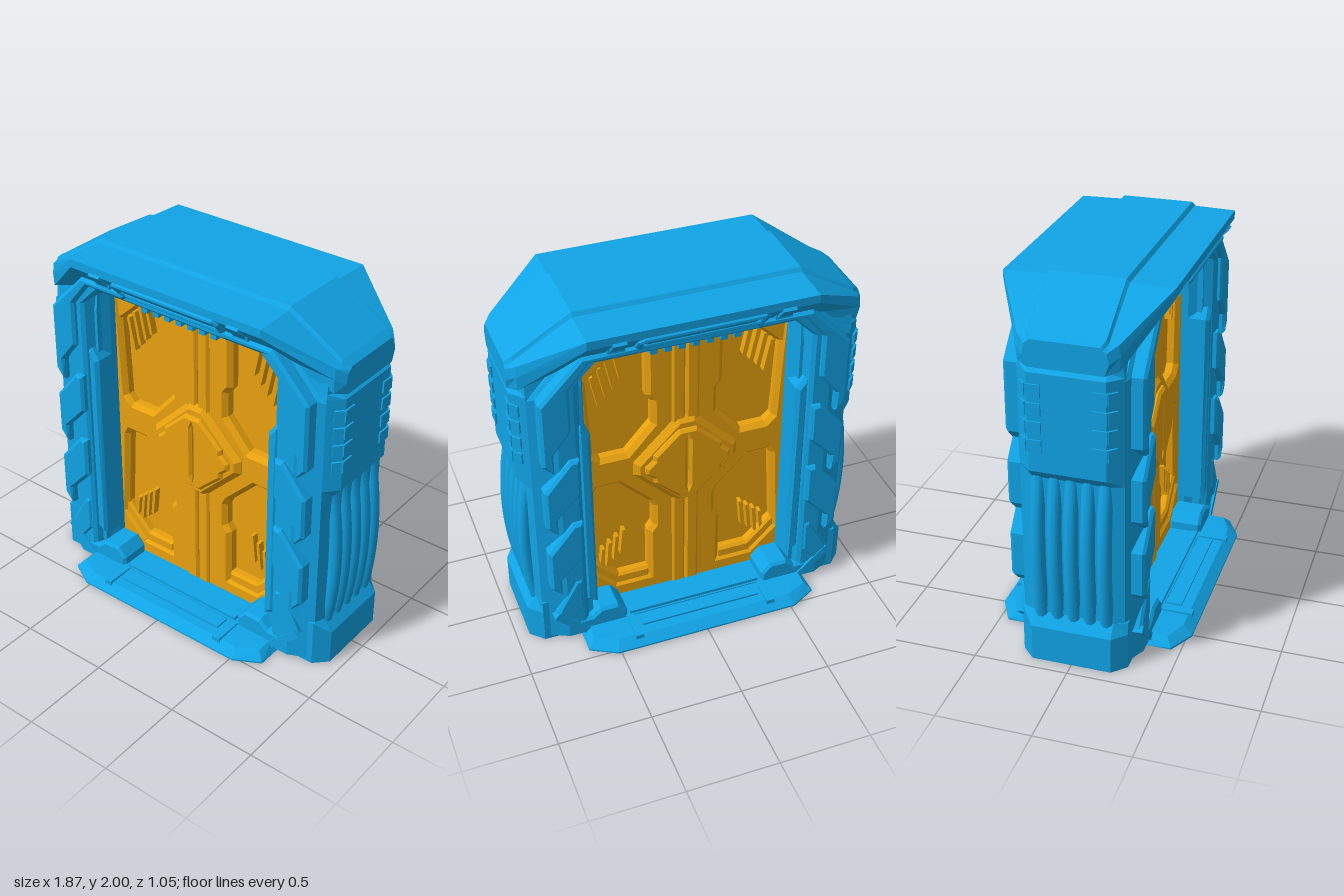
import * as THREE from 'three';
import { ConvexGeometry } from 'three/addons/geometries/ConvexGeometry.js';

const blue = new THREE.MeshStandardMaterial({ color: 0x10a4e6, flatShading: true });
const blueSmooth = new THREE.MeshStandardMaterial({ color: 0x10a4e6 });
const blueThin = new THREE.MeshStandardMaterial({ color: 0x10a4e6, flatShading: true, side: THREE.DoubleSide });
const amber = new THREE.MeshStandardMaterial({ color: 0xe8a20f, flatShading: true });

function add(parent, name, geometry, material, x = 0, y = 0, z = 0) {
  const mesh = new THREE.Mesh(geometry, material);
  mesh.name = name;
  mesh.position.set(x, y, z);
  parent.add(mesh);
  return mesh;
}
const box = (parent, name, mat, w, h, d, x, y, z) => add(parent, name, new THREE.BoxGeometry(w, h, d), mat, x, y, z);

// Joins cross-section loops with quads; closed loops also get end caps.
function skin(loops, closed) {
  const pos = [];
  const tri = (...pts) => pts.forEach(p => pos.push(...p));
  const n = loops[0].length;
  for (let i = 0; i + 1 < loops.length; i++) {
    for (let j = 0; j < (closed ? n : n - 1); j++) {
      const k = (j + 1) % n;
      const a = loops[i][j], b = loops[i][k], c = loops[i + 1][k], d = loops[i + 1][j];
      tri(a, d, c);
      tri(a, c, b);
    }
  }
  if (closed) {
    const first = loops[0], last = loops[loops.length - 1];
    for (let j = 1; j < n - 1; j++) {
      tri(first[0], first[j], first[j + 1]);
      tri(last[0], last[j + 1], last[j]);
    }
  }
  const g = new THREE.BufferGeometry();
  g.setAttribute('position', new THREE.Float32BufferAttribute(pos, 3));
  g.computeVertexNormals();
  return g;
}

// Bevelled plate from an outline in x/y, spanning z0 to z1.
const flip = (pts, s) => pts.map(([x, y]) => new THREE.Vector2(x * s, y));
const mirrored = pts => [...pts, ...pts.map(([x, y]) => [-x, y]).reverse()];
function plate(pts, z0, z1, bevel = 0.015, holes = [], s = 1) {
  const shape = new THREE.Shape(flip(pts, s));
  holes.forEach(h => shape.holes.push(new THREE.Path(h)));
  const g = new THREE.ExtrudeGeometry(shape, {
    depth: z1 - z0 - bevel, bevelEnabled: bevel > 0, bevelThickness: bevel,
    bevelSize: bevel, bevelOffset: -bevel, bevelSegments: 1,
  });
  return g.translate(0, 0, z0);
}
const rect = (w, y0, y1, c) => [[-w, y0 + c], [-w + c, y0], [w - c, y0], [w, y0 + c],
  [w, y1 - c], [w - c, y1], [-w + c, y1], [-w, y1 - c]];

// Chamfered arch from the right foot over to the left foot.
const arch = (w, top, c, z) => [[w, 0.02, z], [w, top - c, z], [w - c, top, z],
  [c - w, top, z], [-w, top - c, z], [-w, 0.02, z]];

function buildColumn() {
  const g = new THREE.Group();
  g.name = 'sideColumn';
  const section = ([y, X, d]) => [[0.58, -d], [0.86, -d], [X, 0.07 - d], [X, d - 0.07], [0.86, d], [0.58, d]]
    .map(([x, z]) => [x, y, z]);
  const stations = [[0, 0.93, 0.28], [0.2, 0.93, 0.28], [0.27, 0.875, 0.28], [0.271, 0.885, 0.265],
    [1.05, 0.885, 0.265], [1.1, 0.925, 0.265], [1.62, 0.925, 0.265], [1.65, 0.89, 0.26], [1.75, 0.89, 0.25]];
  add(g, 'columnBody', skin(stations.map(section), true), blue);
  // bulging vertical ribs
  const arc = new THREE.CatmullRomCurve3([[0.855, 0.22], [0.885, 0.4], [0.899, 0.64], [0.885, 0.88], [0.855, 1.07]]
    .map(([x, y]) => new THREE.Vector3(x, y, 0)));
  for (let i = -2; i <= 2; i++) {
    add(g, 'sideRib', new THREE.TubeGeometry(arc, 20, 0.038, 10), blueSmooth, 0, 0, i * 0.086);
  }
  // small vent blocks wrapping both edges
  for (const s of [-1, 1]) {
    for (let i = 0; i < 4; i++) {
      const y = 1.24 + i * 0.097;
      box(g, 'ventBlock', blue, 0.04, 0.065, 0.075, 0.914, y, s * 0.165);
      box(g, 'ventBlock', blue, 0.04, 0.065, 0.05, 0.898, y, s * 0.212).rotation.y = -s * 0.75;
    }
  }
  return g;
}

function buildDoor() {
  const g = new THREE.Group();
  g.name = 'doorFace';
  box(g, 'doorPanel', amber, 1.14, 1.74, 0.085, 0, 0.91, 0.0425);
  // post with three arms, and the outer rims that close the four pockets
  const lattice = [[0, 0.03], [0.62, 0.03], [0.62, 0.15], [0.21, 0.15], [0.21, 0.47], [0.18, 0.51], [0.18, 0.64], [0.2, 0.68], [0.37, 0.85], [0.62, 0.85],
    [0.62, 1.04], [0.32, 1.04], [0.18, 1.2], [0.18, 1.34], [0.21, 1.38], [0.21, 1.7], [0.62, 1.7], [0.62, 1.82], [0, 1.82]];
  const lowerRim = [[0.62, 0.05], [0.62, 0.96], [0.47, 0.96], [0.48, 0.86], [0.5, 0.82], [0.53, 0.29], [0.39, 0.15], [0.36, 0.05]];
  const upperRim = [[0.62, 0.92], [0.62, 1.8], [0.42, 1.8], [0.49, 1.7], [0.53, 1.66], [0.5, 1.08], [0.45, 1.03], [0.43, 0.92]];
  for (const s of [1, -1]) {
    add(g, 'doorLattice', plate(lattice, 0.08, 0.15, 0.025, [], s), amber);
    add(g, 'lowerRim', plate(lowerRim, 0.08, 0.15, 0.025, [], s), amber);
    add(g, 'upperRim', plate(upperRim, 0.08, 0.15, 0.025, [], s), amber);
    // centre post halves, with a seam between them
    add(g, 'centrePost', plate([[0.002, 0.06], [0.075, 0.06], [0.075, 1.77], [0.002, 1.77]], 0.11, 0.165, 0.012, [], s), amber);
    // corner pads and slanted fins inside the pockets
    add(g, 'upperCornerPad', plate([[0.56, 1.52], [0.56, 1.75], [0.33, 1.75], [0.36, 1.69], [0.5, 1.56]], 0.08, 0.14, 0.015, [], s), amber);
    add(g, 'lowerCornerPad', plate([[0.56, 0.1], [0.56, 0.38], [0.53, 0.35], [0.38, 0.2], [0.2, 0.2], [0.2, 0.1]], 0.08, 0.135, 0.015, [], s), amber);
    for (let i = 0; i < 4; i++) {
      const x = 0.35 + i * 0.04;
      box(g, 'upperFin', amber, 0.018, 0.19, 0.05, s * (0.82 - x), 1.46 + i * 0.045, 0.1).rotation.z = -s * 0.2;
      box(g, 'lowerFin', amber, 0.018, 0.17, 0.05, s * x, 0.42 - i * 0.035, 0.1).rotation.z = s * 0.1;
    }
  }
  // centre diamond in two layers, the cover with an upright slit
  add(g, 'diamondBase', plate(mirrored([[0.05, 0.66], [0.29, 0.9], [0.29, 0.98], [0.05, 1.22]]), 0.11, 0.185, 0.03), amber);
  add(g, 'diamondCover', plate(mirrored([[0.05, 0.72], [0.19, 0.85], [0.19, 0.88], [0.235, 0.92], [0.235, 0.96], [0.19, 1.0], [0.19, 1.03], [0.05, 1.16]]),
    0.18, 0.21, 0.015, [flip([[0, 0.76], [0.006, 0.79], [0.006, 1.09], [0, 1.12], [-0.006, 1.09], [-0.006, 0.79]], 1)]), amber);
  return g;
}

function buildFace() {
  const g = new THREE.Group();
  g.name = 'portalFace';
  const profile = [[0.555, 1.75, 0.03, 0.1], [0.555, 1.75, 0.03, 0.19], [0.6, 1.765, 0.07, 0.27], [0.62, 1.775, 0.1, 0.31],
    [0.64, 1.79, 0.12, 0.325], [0.73, 1.84, 0.21, 0.325], [0.78, 1.86, 0.24, 0.3], [0.86, 1.88, 0.28, 0.265], [0.88, 1.89, 0.3, 0.2]];
  add(g, 'doorFrame', skin(profile.map(p => arch(...p)), false), blueThin);

  for (const s of [1, -1]) {
    // armour plates on the frame
    const armour = [
      [[0.82, 1.24], [0.82, 1.61], [0.6, 1.84], [0.28, 1.84], [0.32, 1.8], [0.56, 1.8], [0.665, 1.67], [0.665, 1.42], [0.76, 1.3], [0.76, 1.18]],
      [[0.82, 0.84], [0.82, 1.07], [0.68, 1.24], [0.63, 1.24], [0.63, 1.02], [0.76, 0.88], [0.76, 0.78]],
      [[0.82, 0.42], [0.82, 0.66], [0.68, 0.83], [0.63, 0.83], [0.63, 0.6], [0.76, 0.46], [0.76, 0.36]],
      [[0.8, 0.2], [0.76, 0.28], [0.68, 0.42], [0.64, 0.42], [0.64, 0.22], [0.72, 0.12]],
    ];
    armour.forEach((pts, i) => add(g, 'armourPlate', plate(pts, 0.26, i < 3 ? 0.355 : 0.335, 0.015, [], s), blue));
    add(g, 'jambStrip', plate([[0.555, 0.2], [0.625, 0.24], [0.625, 1.4], [0.6, 1.4], [0.555, 1.34]], 0.18, 0.31, 0.02, [], s), blue);
    // bottom corner brackets and braces
    add(g, 'cornerBracket', plate([[0.4, 0.05], [0.4, 0.11], [0.45, 0.165], [0.55, 0.165], [0.6, 0.12], [0.7, 0.12], [0.7, 0.05]],
      0.16, 0.33, 0.015, [], s), blue);
    box(g, 'cornerBrace', blue, 0.24, 0.04, 0.06, s * 0.71, 0.12, 0.31).rotation.z = s * 0.75;
    box(g, 'rampStrap', blue, 0.045, 0.025, 0.17, s * 0.385, 0.055, 0.41);
    // clips under the brow
    box(g, 'browClip', blue, 0.07, 0.11, 0.04, s * 0.43, 1.9, 0.385).rotation.x = 0.75;
    box(g, 'clipFoot', blue, 0.09, 0.03, 0.05, s * 0.43, 1.86, 0.345);
  }

  // recessed light bar on the brow's underside
  const bar = new THREE.Group();
  bar.name = 'lightBar';
  bar.position.set(0, 1.885, 0.38);
  bar.rotation.x = 0.75;
  add(bar, 'lightRim', plate(rect(0.335, -0.065, 0.065, 0.025), -0.02, 0.02, 0.008, [flip(rect(0.305, -0.042, 0.042, 0.015), 1)]), blue);
  add(bar, 'lightPanel', plate(rect(0.29, -0.03, 0.03, 0.012), -0.02, 0.012, 0.008), blue);
  g.add(bar);

  // row of teeth above the door
  box(g, 'ventRail', blue, 0.76, 0.04, 0.08, 0, 1.76, 0.22);
  for (let i = -3; i <= 3; i++) box(g, 'ventTooth', blue, 0.035, 0.035, 0.06, i * 0.073, 1.76, 0.27);

  // threshold and entry ramp
  box(g, 'threshold', blue, 1.3, 0.055, 0.18, 0, 0.0375, 0.24);
  box(g, 'thresholdBar', blue, 0.76, 0.025, 0.04, 0, 0.07, 0.3);
  const ramp = [];
  for (const s of [1, -1]) {
    for (const [x, y, z] of [[0.66, 0.005, 0.3], [0.66, 0.005, 0.45], [0.52, 0.005, 0.527], [0.66, 0.015, 0.45], [0.52, 0.015, 0.527],
      [0.62, 0.06, 0.3], [0.62, 0.055, 0.42], [0.5, 0.055, 0.475]]) ramp.push(new THREE.Vector3(s * x, y, z));
  }
  add(g, 'entryRamp', new ConvexGeometry(ramp), blue);
  box(g, 'rampInset', blue, 0.68, 0.015, 0.08, 0, 0.06, 0.38);
  return g;
}

// Roof cap: a crest band stepping down to a flared brow at front and back.
function buildCap() {
  const mid = [[0.19, 2], [0.205, 1.98], [0.425, 1.975], [0.425, 1.93], [0.27, 1.77]];
  const near = [[0.19, 1.82], [0.2, 1.8], [0.245, 1.795], [0.255, 1.74], [0.25, 1.665]];
  const end = [[0.17, 1.79], [0.18, 1.775], [0.2, 1.765], [0.21, 1.71], [0.19, 1.65]];
  const section = (x, pts) => [
    ...pts.map(([z, y]) => [x, y, -z]),
    ...pts.map(([z, y]) => [x, y, z]).reverse(),
  ];
  return skin([section(-0.93, end), section(-0.89, near), section(-0.59, mid),
    section(0.59, mid), section(0.89, near), section(0.93, end)], true);
}

export function createModel() {
  const model = new THREE.Group();
  model.name = 'portalDoor';
  add(model, 'roofCap', buildCap(), blue);
  box(model, 'floorSlab', blue, 1.1, 0.03, 0.2, 0, 0.03, 0);
  // both sides and both faces repeat by a half turn
  for (const turn of [0, Math.PI]) {
    for (const part of [buildColumn(), buildDoor(), buildFace()]) {
      part.rotation.y = turn;
      model.add(part);
    }
  }
  return model;
}
